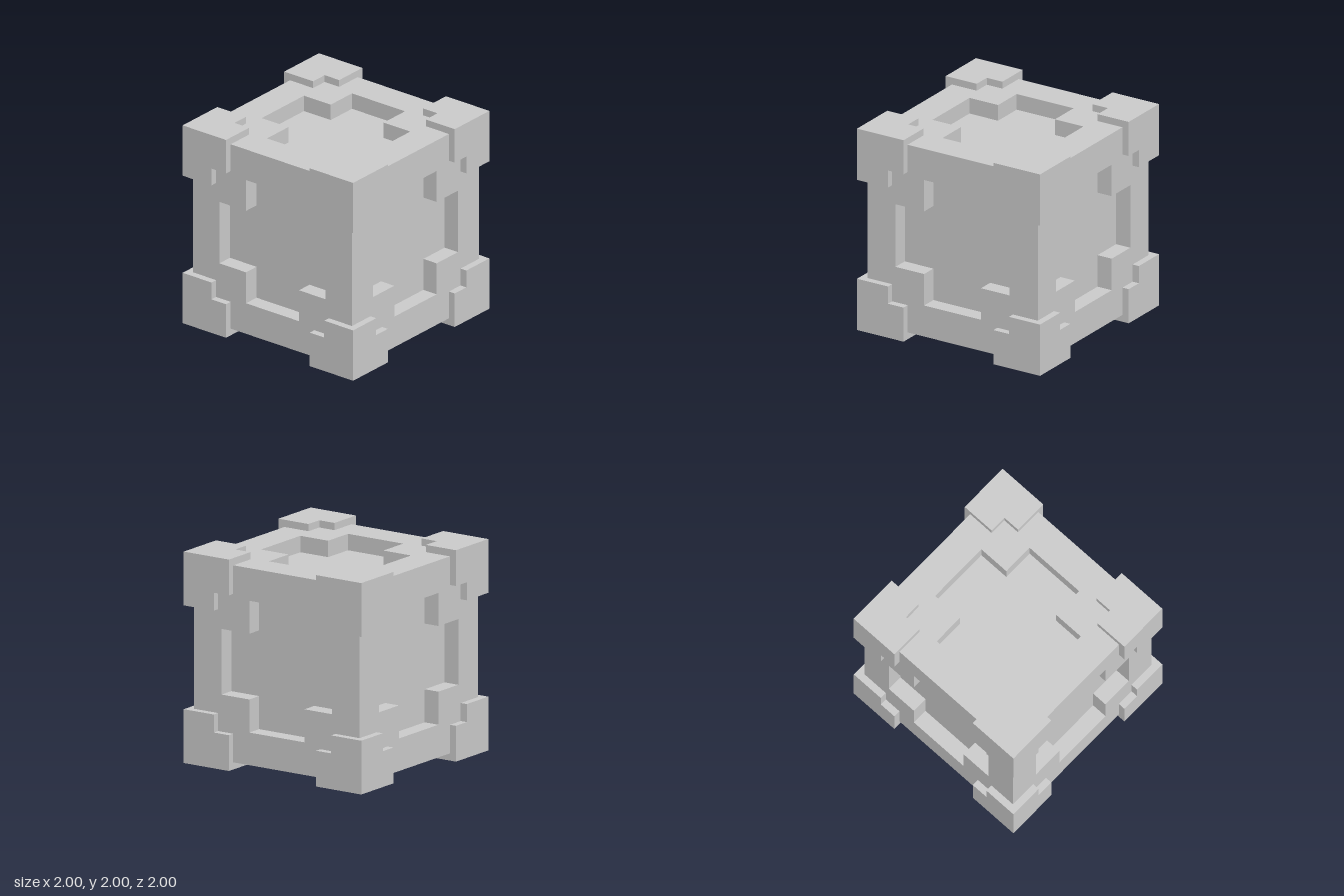
import * as THREE from 'three';

const CENTRE_Y = 0.997;
const HALF = 0.93;    // cube half size
const DEPTH = 0.155;  // recess depth
const OUT = 0.998;    // outer reach of the corner caps
const IN = 0.49;      // inner reach of the corner caps
const STEP = 0.66;    // stepped notch of the corner caps

const material = new THREE.MeshStandardMaterial({ color: 0xcccccc, flatShading: true });

function addMesh(parent, name, geometry) {
  const mesh = new THREE.Mesh(geometry, material);
  mesh.name = name;
  parent.add(mesh);
  return mesh;
}

const polygon = (pts) => new THREE.Shape(pts.map(([x, y]) => new THREE.Vector2(x, y)));

// Counter-clockwise plus-shaped outline
function crossPoints(a, b) {
  return [[a, -b], [a, -a], [b, -a], [b, a], [a, a], [a, b],
    [-a, b], [-a, a], [-b, a], [-b, -a], [-a, -a], [-a, -b]]
    .map(([x, y]) => [x, y]).sort(() => 0);
}

// Inward-facing walls that run around the recess
function recessWalls(pts, top, bottom) {
  const pos = [];
  pts.forEach(([ax, ay], i) => {
    const [bx, by] = pts[(i + 1) % pts.length];
    pos.push(ax, ay, top, bx, by, top, bx, by, bottom);
    pos.push(ax, ay, top, bx, by, bottom, ax, ay, bottom);
  });
  const geometry = new THREE.BufferGeometry();
  geometry.setAttribute('position', new THREE.Float32BufferAttribute(pos, 3));
  geometry.computeVertexNormals();
  return geometry;
}

export function createModel() {
  const model = new THREE.Group();
  model.name = 'corneredCube';

  // Cube face parts: rim with a plus-shaped hole, recess walls and floor
  const cross = crossPoints(0.31, 0.622);
  const square = polygon([[-HALF, -HALF], [HALF, -HALF], [HALF, HALF], [-HALF, HALF]]);
  square.holes.push(polygon(cross));
  const rim = new THREE.ShapeGeometry(square).translate(0, 0, HALF);
  const floor = new THREE.ShapeGeometry(polygon(cross)).translate(0, 0, HALF - DEPTH);
  const walls = recessWalls(cross, HALF, HALF - DEPTH);

  const q = Math.PI / 2;
  const faces = {
    front: [0, 0], left: [0, q], back: [0, 2 * q], right: [0, -q], top: [-q, 0], bottom: [q, 0],
  };
  for (const [name, [rx, ry]] of Object.entries(faces)) {
    const face = new THREE.Group();
    face.name = `${name}Face`;
    face.rotation.set(rx, ry, 0);
    face.position.y = CENTRE_Y;
    addMesh(face, 'faceRim', rim);
    addMesh(face, 'recessWalls', walls);
    addMesh(face, 'recessFloor', floor);
    model.add(face);
  }

  // Corner cap: L-shaped block plus a stub along the third edge
  const lShape = polygon([[STEP, IN], [OUT, IN], [OUT, OUT], [IN, OUT], [IN, STEP], [STEP, STEP]]);
  const block = new THREE.ExtrudeGeometry(lShape, { depth: OUT - STEP, bevelEnabled: false })
    .translate(0, 0, STEP);
  const mid = (STEP + OUT) / 2;
  const stub = new THREE.BoxGeometry(OUT - STEP, OUT - STEP, STEP - IN)
    .translate(mid, mid, (STEP + IN) / 2);

  for (const flip of [0, Math.PI]) {
    for (let i = 0; i < 4; i++) {
      const cap = new THREE.Group();
      cap.name = `${flip ? 'bottom' : 'top'}CornerCap${i + 1}`;
      cap.rotation.set(0, i * q, flip, 'YXZ');
      cap.position.y = CENTRE_Y;
      addMesh(cap, 'capBlock', block);
      addMesh(cap, 'capStub', stub);
      model.add(cap);
    }
  }
  return model;
}
